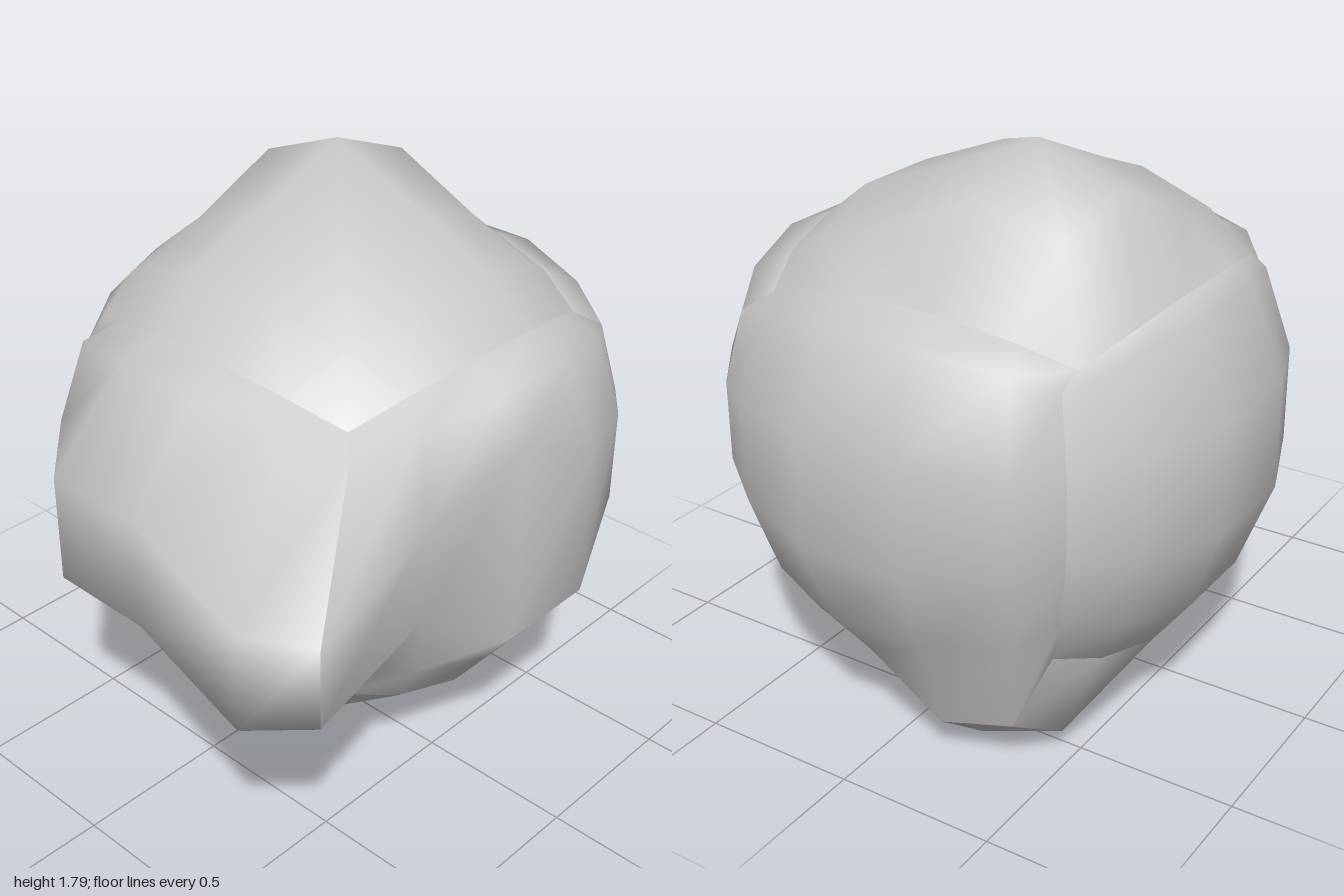
import * as THREE from 'three';

const RADIUS = 0.89;
const CENTRE = new THREE.Vector3(0.14, 0.915, -0.055);

// Pulls and pushes, chosen by position on the cube grid (-5, -3, -1, 1, 3, 5).
const sculpt = [
  // flattened crown
  { where: (x, y, z) => y === 5, move: [0, -0.12, 0] },
  // raised hump on the crown
  { where: (x, y, z) => y === 5 && (x === 1 || x === 3) && (z === -1 || z === -3), move: [0, 0.14, 0] },
  // flattened back, keeping its upper rim
  { where: (x, y, z) => z === -5 && y < 5, move: [0, 0, 0.075] },
  // snout pulled out of the right-hand front edge
  { where: (x, y, z) => x === -5 && Math.abs(y) === 1 && z >= 3, move: [-0.388, 0, 0.262] },
  // fuller side behind the snout
  { where: (x, y, z) => x === -5 && Math.abs(y) === 1 && Math.abs(z) === 1, move: [-0.145, 0, 0] },
  // low foot under the left side
  { where: (x, y, z) => y === -5 && x >= 3 && (z === -1 || z === -3), move: [0, -0.16, 0] },
  // stretched middle of the front
  { where: (x, y, z) => z === 5 && Math.abs(x) === 1 && y === -1, move: [0, -0.145, 0] },
  { where: (x, y, z) => z === 5 && x === -1 && y === 1, move: [0, 0.18, 0] },
];

export function createModel() {
  const group = new THREE.Group();
  group.name = 'sculptedBlob';

  // Cube grid rounded into a ball; each of its six patches keeps its own normals
  const geometry = new THREE.BoxGeometry(10, 10, 10, 5, 5, 5);
  const position = geometry.attributes.position;
  const p = new THREE.Vector3();
  for (let i = 0; i < position.count; i++) {
    p.fromBufferAttribute(position, i).round();
    const { x, y, z } = p;
    p.setLength(RADIUS).add(CENTRE);
    for (const { where, move } of sculpt) {
      if (where(x, y, z)) p.add(new THREE.Vector3(...move));
    }
    position.setXYZ(i, p.x, p.y, p.z);
  }
  geometry.computeVertexNormals();

  const body = new THREE.Mesh(geometry, new THREE.MeshStandardMaterial({ color: 0xcccccc }));
  body.name = 'body';
  group.add(body);
  return group;
}
